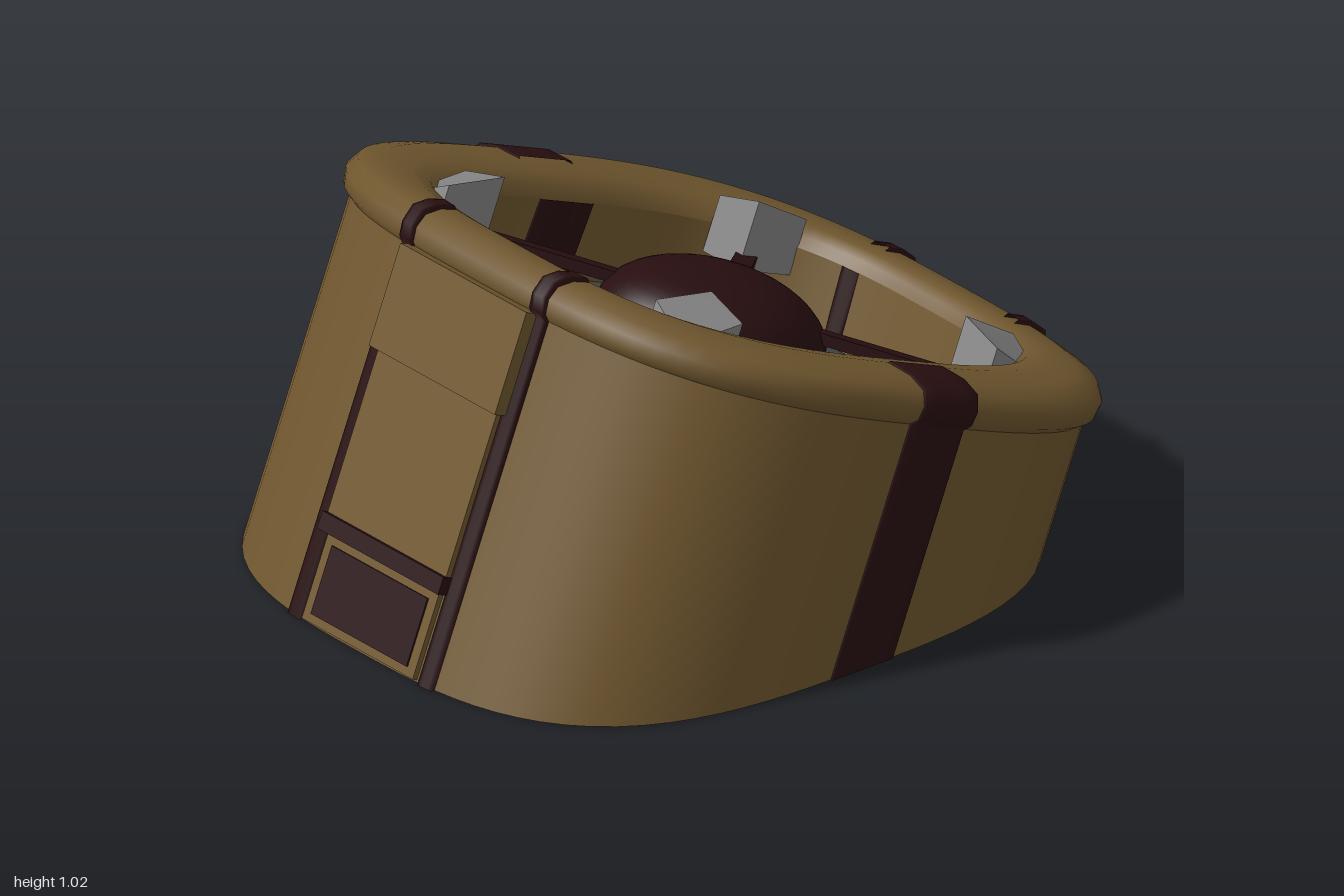
import * as THREE from 'three';

const TILT = THREE.MathUtils.degToRad(22); // the tub leans backwards
const CZ = 0.0725; // tub centre along its own depth axis
const SLOPE = Math.tan(TILT);
const GROUND = 'ground'; // height marker: cut level with the ground

const mat = (name, color, side = THREE.FrontSide) => {
  const m = new THREE.MeshStandardMaterial({ color, side });
  m.name = name;
  return m;
};

// Rounded-square outline with half sizes a (x) and b (z)
function outline(t, a, b) {
  const c = Math.cos(t), s = Math.sin(t);
  const r = 1 / Math.cbrt(Math.abs(c) ** 3 + Math.abs(s) ** 3);
  return [a * r * c, b * r * s];
}
const bulge = (v) => Math.cbrt(Math.max(0, 1 - Math.abs(v) ** 3));
const height = (y, z) => (y === GROUND ? -z * SLOPE : y);

function gridGeometry(pos, rows, cols, closed) {
  const idx = [];
  for (let r = 0; r < rows - 1; r++) {
    for (let j = 0; j < (closed ? cols : cols - 1); j++) {
      const k = (j + 1) % cols;
      const a = r * cols + j, b = a + cols, c = r * cols + k, d = c + cols;
      idx.push(a, b, c, b, d, c);
    }
  }
  const g = new THREE.BufferGeometry();
  g.setAttribute('position', new THREE.Float32BufferAttribute(pos, 3));
  g.setIndex(idx);
  g.computeVertexNormals();
  return g;
}

// Skin through rings given as [half width, half depth, height]
function loft(rings, n = 96) {
  const pos = [];
  for (const [a, b, y] of rings) {
    for (let j = 0; j < n; j++) {
      const [x, dz] = outline((j / n) * Math.PI * 2, a, b);
      pos.push(x, height(y, CZ + dz), CZ + dz);
    }
  }
  return gridGeometry(pos, rings.length, n, true);
}

// Raised band following the ring profile; outer samples are tucked in as edges
function band(rings, onSide, sign, centre, width, lift) {
  const pos = [];
  const across = [-0.5, -0.49, -0.25, 0, 0.25, 0.49, 0.5];
  for (const [a, b, y] of rings) {
    across.forEach((u, i) => {
      const edge = i === 0 || i === across.length - 1;
      const o = edge ? -lift : lift, v = centre + u * width;
      const x = onSide ? sign * (a + o) * bulge(v / b) : v;
      const z = CZ + (onSide ? v : sign * (b + o) * bulge(v / a));
      pos.push(x, y === GROUND ? height(y, z) : y + (y > 0.7 ? Math.abs(o) * (edge ? -1 : 1) : 0), z);
    });
  }
  return gridGeometry(pos, rings.length, across.length, false);
}

export function createModel() {
  const brown = mat('brown shell', 0x70572f);
  const maroon = mat('dark maroon', 0x280e10);
  const maroonBand = mat('dark maroon band', 0x280e10, THREE.DoubleSide);
  const grey = mat('dark grey', 0x474747);
  const pale = mat('light grey', 0x858585);

  const root = new THREE.Group();
  root.name = 'leaningTub';
  const tub = new THREE.Group();
  tub.name = 'tub';
  tub.rotation.x = -TILT;
  root.add(tub);
  const add = (name, geo, material, x = 0, y = 0, z = 0) => {
    const m = new THREE.Mesh(geo, material);
    m.name = name;
    m.position.set(x, y, z);
    tub.add(m);
    return m;
  };

  // Shell: base, outer wall, padded rim, inner wall and floor
  add('base', loft([[0, 0, GROUND], [0.87, 0.85, GROUND]]), brown);
  add('outerWall', loft([[0.87, 0.85, GROUND], [0.87, 0.85, 0.63]]), brown);
  const rim = [[0.868, 0.848, 0.62], [0.893, 0.868, 0.64], [0.9, 0.873, 0.68], [0.88, 0.855, 0.715],
    [0.82, 0.81, 0.733], [0.73, 0.758, 0.735], [0.665, 0.725, 0.725], [0.63, 0.705, 0.7], [0.62, 0.697, 0.67]];
  add('rim', loft(rim), brown);
  add('innerWall', loft([[0.62, 0.697, 0.67], [0.635, 0.707, 0.45]]), brown);
  add('floor', loft([[0.635, 0.707, 0.45], [0, 0, 0.45]]), brown);

  // Bands up the outside and over the rim, and down the inside
  const outer = [[0.87, 0.85, GROUND], [0.87, 0.85, 0.62], ...rim.slice(1, 6)];
  const inner = [[0.62, 0.697, 0.67], [0.635, 0.707, 0.455]];
  for (const s of [-1, 1]) {
    add('sideBand', band(outer, true, s, 0, 0.185, 0.006), maroonBand);
    add('innerSideBand', band(inner, true, s, 0, 0.185, -0.005), maroonBand);
    for (const x of [-0.26, 0.26]) {
      const end = s > 0 ? 'front' : 'back';
      add(end + 'Band', band(outer, false, s, x, 0.05, 0.01), maroonBand);
      add(end + 'InnerBand', band(inner, false, s, x, 0.05, -0.005), maroonBand);
    }
  }

  // Front panels, bottom to top: [name, material, half width, low, high, front]
  for (const [name, m, hw, lo, hi, front] of [
    ['lowerFrame', brown, 0.22, -0.365, -0.13, 0.933],
    ['lowerInset', maroon, 0.19, -0.342, -0.159, 0.938],
    ['crossBar', maroon, 0.24, -0.132, -0.085, 0.956],
    ['middlePanel', brown, 0.235, -0.085, 0.35, 0.942],
    ['upperBox', brown, 0.25, 0.355, 0.63, 0.963],
  ]) {
    const back = 0.9;
    add(name, new THREE.BoxGeometry(hw * 2, hi - lo, front - back), m, 0, (lo + hi) / 2, (front + back) / 2);
  }

  // Four floor panels separated by diagonal gaps
  for (const [from, to, ax, az] of [
    [-43, 43, 0.09, 0], [137, 223, -0.09, 0], [55, 125, 0, 0.1], [235, 305, 0, -0.1],
  ]) {
    const shape = new THREE.Shape();
    shape.moveTo(ax, az);
    for (let i = 0; i <= 20; i++) {
      const t = THREE.MathUtils.degToRad(from + ((to - from) * i) / 20);
      shape.lineTo(...outline(t, 0.63, 0.7));
    }
    const g = new THREE.ExtrudeGeometry(shape, { depth: 0.02, bevelEnabled: false });
    g.rotateX(Math.PI / 2);
    add('floorPanel', g, grey, 0, 0.465, CZ);
  }

  // Central dome
  add('dome', new THREE.SphereGeometry(1, 48, 24), maroon, 0, 0.565, CZ).scale.set(0.28, 0.165, 0.315);

  // Diagonal struts ending in corner blocks with sloping tops
  for (const sx of [-1, 1]) {
    for (const sz of [-1, 1]) {
      const strut = add('strut', new THREE.BoxGeometry(0.5, 0.03, 0.055), maroon, sx * 0.31, 0.62, CZ + sz * 0.345);
      strut.rotation.y = -Math.atan2(sz * 0.535, sx * 0.48);
      const g = new THREE.BoxGeometry(0.14, 0.18, 0.18);
      const p = g.attributes.position;
      for (let i = 0; i < p.count; i++) {
        if (p.getY(i) < 0) continue;
        const out = (p.getX(i) * sx > 0 ? 1 : 0) + (p.getZ(i) * sz > 0 ? 1 : 0);
        p.setY(i, [0.095, 0.06, -0.01][out]);
      }
      g.computeVertexNormals();
      add('cornerBlock', g, pale, sx * 0.48, 0.685, CZ + sz * 0.535);
    }
  }
  return root;
}
